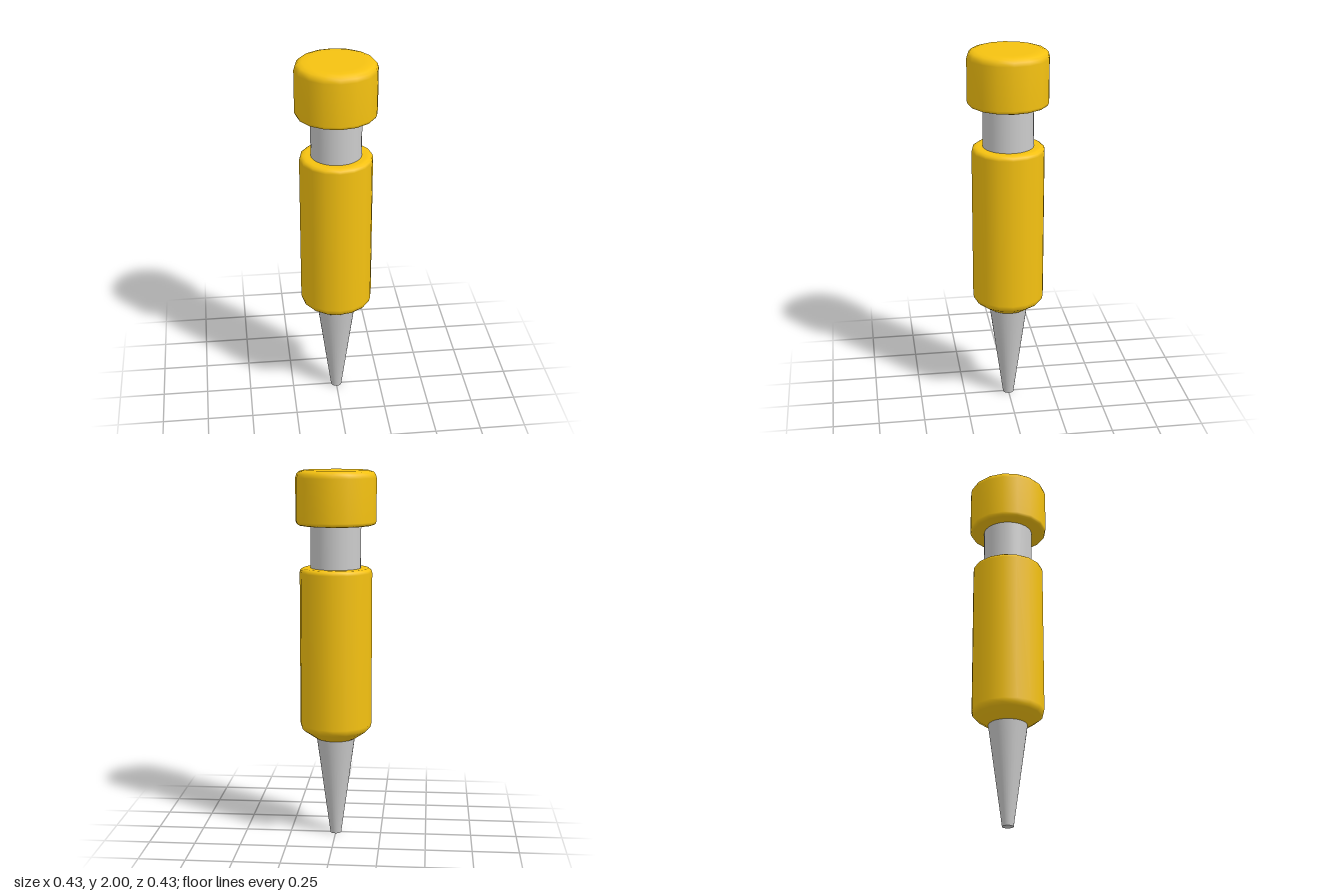
import * as THREE from 'three';

const yellow = new THREE.MeshStandardMaterial({ color: 0xf5c211 });
const grey = new THREE.MeshStandardMaterial({ color: 0xcccccc });

export function createModel() {
  const group = new THREE.Group();

  const add = (name, geometry, material, y = 0) => {
    const mesh = new THREE.Mesh(geometry, material);
    mesh.name = name;
    mesh.position.y = y;
    group.add(mesh);
  };

  // Turned part from a bottom-to-top profile of [radius, height]
  const turned = (profile) =>
    new THREE.LatheGeometry(profile.map(([r, y]) => new THREE.Vector2(r, y)), 16);

  // Push cap with a softly rounded rim
  add('cap', turned([
    [0, 1.712], [0.13, 1.712], [0.198, 1.712], [0.21, 1.717], [0.216, 1.732],
    [0.216, 1.96], [0.21, 1.98], [0.198, 1.993], [0.175, 2], [0.14, 2], [0, 2],
  ]), yellow);

  // Sleeve with a chamfered lower end
  add('body', turned([
    [0, 0.545], [0.085, 0.545], [0.106, 0.547], [0.116, 0.552], [0.178, 0.595],
    [0.19, 0.608], [0.195, 0.63], [0.195, 1.46], [0.191, 1.474], [0.178, 1.483],
    [0.16, 1.484], [0, 1.484],
  ]), yellow);

  // Shaft between sleeve and cap, and the tapered tip
  add('shaft', new THREE.CylinderGeometry(0.135, 0.135, 0.27, 32), grey, 1.597);
  add('tip', new THREE.CylinderGeometry(0.105, 0.03, 0.55, 32), grey, 0.275);

  return group;
}
